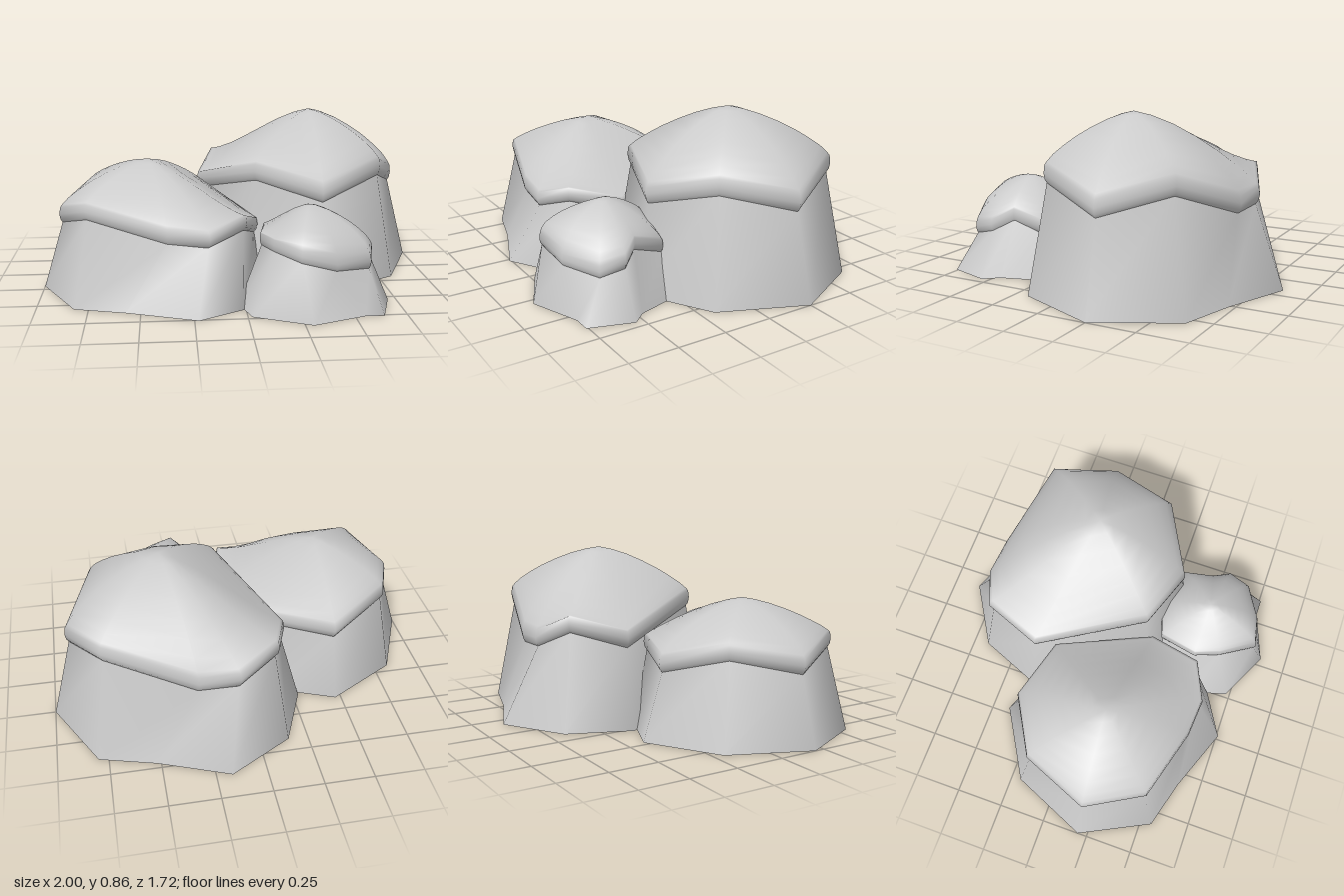
import * as THREE from 'three';

const material = new THREE.MeshStandardMaterial({ color: 0xcccccc, side: THREE.DoubleSide });

// Skin a stack of rings (bottom to top) over the given number of sides, optionally closed by an apex
function skin(rings, sides, apex) {
  const n = rings[0].length, pos = rings.flat(2), index = [];
  for (let r = 0; r < rings.length - 1; r++) {
    for (let i = 0; i < sides; i++) {
      const a = r * n + i, b = r * n + (i + 1) % n;
      index.push(a, a + n, b, b, a + n, b + n);
    }
  }
  if (apex) {
    const top = pos.length / 3, start = (rings.length - 1) * n;
    pos.push(...apex);
    for (let i = 0; i < n; i++) index.push(start + i, top, start + (i + 1) % n);
  }
  const geo = new THREE.BufferGeometry();
  geo.setAttribute('position', new THREE.Float32BufferAttribute(pos, 3));
  geo.setIndex(index);
  geo.computeVertexNormals();
  return geo;
}

// Dome profile: [radius factor, share of the height from lip to apex]
const dome = [[0.97, 0.07], [0.9, 0.21], [0.78, 0.38], [0.65, 0.54], [0.48, 0.71], [0.31, 0.85], [0.14, 0.95]];

// points: [base x, base z, rim x, rim z, rim height, hollow (above 1 sinks the slope, below 1 swells it)]
function mound(name, points, apex, lip, wallSides = points.length) {
  const [ax, ay, az] = apex;
  const ring = (k, height) => points.map(([, , x, z, y, hollow = 1]) =>
    [ax + (x - ax) * k, height(y, hollow), az + (z - az) * k]);

  // Sloping wall, open at the ground
  const base = points.map(([x, z]) => [x, 0, z]);
  const foot = ring(0.972, y => y);
  const wall = new THREE.Mesh(skin([base, foot], wallSides), material);
  wall.name = name + 'Wall';

  // Overhanging cap with a rounded lip
  const rings = [
    foot,
    ring(0.995, y => y + lip * 0.2),
    ring(1.005, y => y + lip * 0.55),
    ring(0.995, y => y + lip),
    ...dome.map(([k, f]) => ring(k, (y, hollow) => y + lip + (ay - y - lip) * f ** hollow)),
  ];
  const cap = new THREE.Mesh(skin(rings, points.length, apex), material);
  cap.name = name + 'Cap';

  const group = new THREE.Group();
  group.name = name;
  group.add(wall, cap);
  return group;
}

export function createModel() {
  const model = new THREE.Group();
  model.name = 'rockMounds';

  model.add(mound('largeRock', [
    [0.17, -0.86, 0.10, -0.70, 0.40, 1.15],
    [0.52, -0.72, 0.30, -0.685, 0.39],
    [0.80, -0.64, 0.74, -0.56, 0.54],
    [1.00, -0.25, 0.90, -0.24, 0.44],
    [0.82, 0.18, 0.75, 0.12, 0.54],
    [0.48, 0.38, 0.42, 0.31, 0.44],
    [0.03, 0.27, 0.08, 0.21, 0.54, 1.1],
    [-0.28, -0.35, -0.19, -0.33, 0.40, 1.6],
    [-0.15, -0.67, -0.10, -0.61, 0.49, 1.9],
  ], [0.41, 0.86, -0.17], 0.085));

  model.add(mound('mediumRock', [
    [-1.00, 0.20, -0.91, 0.20, 0.34],
    [-0.83, -0.20, -0.78, -0.14, 0.42],
    [-0.47, -0.41, -0.47, -0.32, 0.33],
    [-0.15, -0.28, -0.16, -0.22, 0.38, 1.2],
    [0.12, 0.25, 0.09, 0.25, 0.28, 1.7],
    [-0.01, 0.63, 0.01, 0.52, 0.36, 1.9],
    [-0.23, 0.76, -0.17, 0.61, 0.30, 1.25],
    [-0.57, 0.63, -0.37, 0.595, 0.32, 1.1],
    [-0.82, 0.56, -0.76, 0.49, 0.42, 1.1],
  ], [-0.46, 0.655, 0.17], 0.075));

  // Small rock leans into the others, so its wall stays open at the back
  model.add(mound('smallRock', [
    [0.60, 0.30, 0.54, 0.29, 0.23],
    [0.65, 0.47, 0.55, 0.45, 0.28],
    [0.71, 0.54, 0.62, 0.54, 0.23, 0.95],
    [0.64, 0.76, 0.59, 0.66, 0.20, 0.85],
    [0.55, 0.76, 0.41, 0.76, 0.22, 0.75],
    [0.29, 0.86, 0.24, 0.79, 0.27, 0.65],
    [0.02, 0.73, 0.13, 0.62, 0.28, 1.4],
    [-0.03, 0.55, 0.08, 0.49, 0.28, 1.8],
    [0.04, 0.32, 0.12, 0.29, 0.28, 1.6],
    [0.30, 0.20, 0.30, 0.23, 0.27],
  ], [0.32, 0.48, 0.49], 0.06, 8));

  return model;
}
